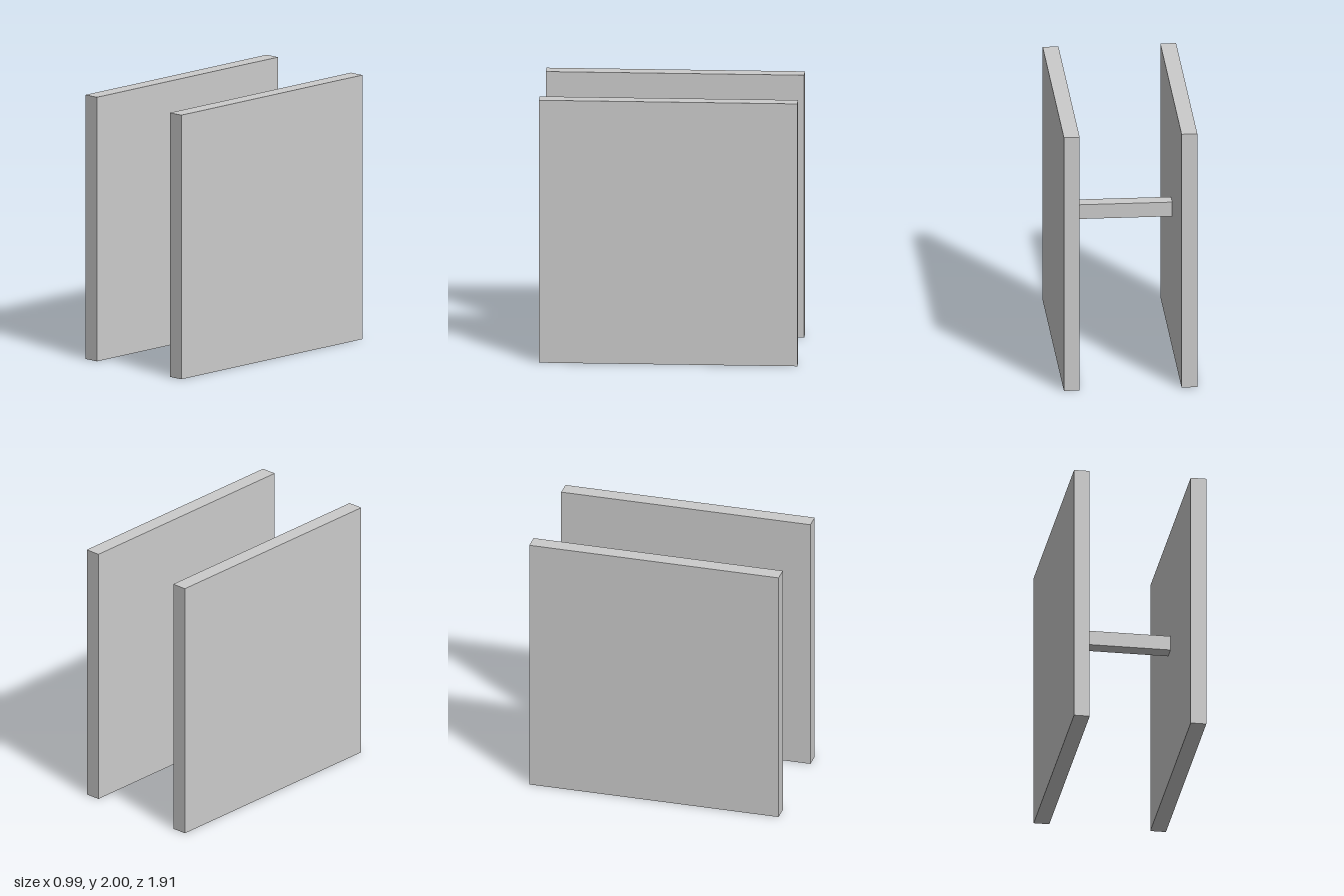
import * as THREE from 'three';

export function createModel() {
  const model = new THREE.Group();
  const material = new THREE.MeshStandardMaterial({ color: 0xcccccc, flatShading: true });

  const addBox = (name, size, position) => {
    const mesh = new THREE.Mesh(new THREE.BoxGeometry(...size), material);
    mesh.name = name;
    mesh.position.set(...position);
    model.add(mesh);
  };

  // Two upright side panels
  const thickness = 0.117, outer = 0.495;
  for (const [name, side] of [['leftPanel', 1], ['rightPanel', -1]]) {
    addBox(name, [thickness, 2, 1.914], [side * (outer - thickness / 2), 1, 0]);
  }

  // Square bar joining the inner faces of the panels
  addBox('crossbar', [2 * (outer - thickness), 0.112, 0.112], [0, 1.092, -0.056]);

  return model;
}
